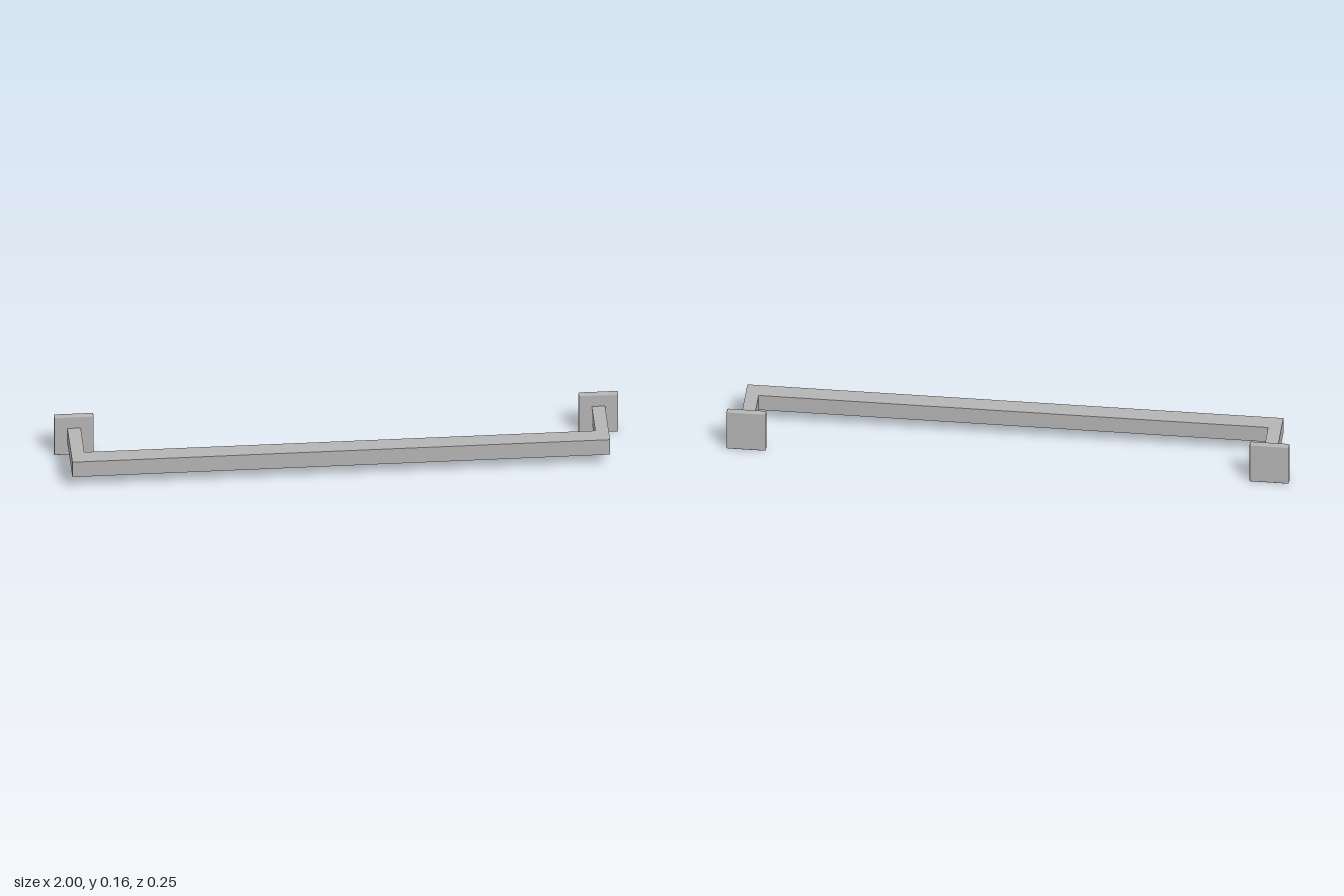
import * as THREE from 'three';
import { RoundedBoxGeometry } from 'three/addons/geometries/RoundedBoxGeometry.js';

export function createModel() {
  const group = new THREE.Group();
  const metal = new THREE.MeshStandardMaterial({ color: 0xb4b4b4 });
  metal.name = 'brushedMetal';

  const bottom = 0.048, top = 0.11;   // bar height range
  const back = -0.11, front = 0.124;  // post ends sit just inside the plates
  const outer = 0.953, inner = 0.906, barBack = 0.06;

  // Square rail with its two return posts, as one U-shaped outline (x, z)
  const outline = new THREE.Shape([
    [-outer, back], [-inner, back], [-inner, barBack], [inner, barBack],
    [inner, back], [outer, back], [outer, front], [-outer, front],
  ].map(([x, z]) => new THREE.Vector2(x, z)));
  const railGeometry = new THREE.ExtrudeGeometry(outline, { depth: top - bottom, bevelEnabled: false });
  railGeometry.rotateX(Math.PI / 2).translate(0, top, 0);
  const rail = new THREE.Mesh(railGeometry, metal);
  rail.name = 'rail';
  group.add(rail);

  // Wall plates with softly rounded edges
  const plateGeometry = new RoundedBoxGeometry(0.14, 0.158, 0.023, 3, 0.004);
  for (const [side, name] of [[1, 'leftWallPlate'], [-1, 'rightWallPlate']]) {
    const plate = new THREE.Mesh(plateGeometry, metal);
    plate.name = name;
    plate.position.set(side * 0.93, 0.079, -0.1125);
    group.add(plate);
  }
  return group;
}
